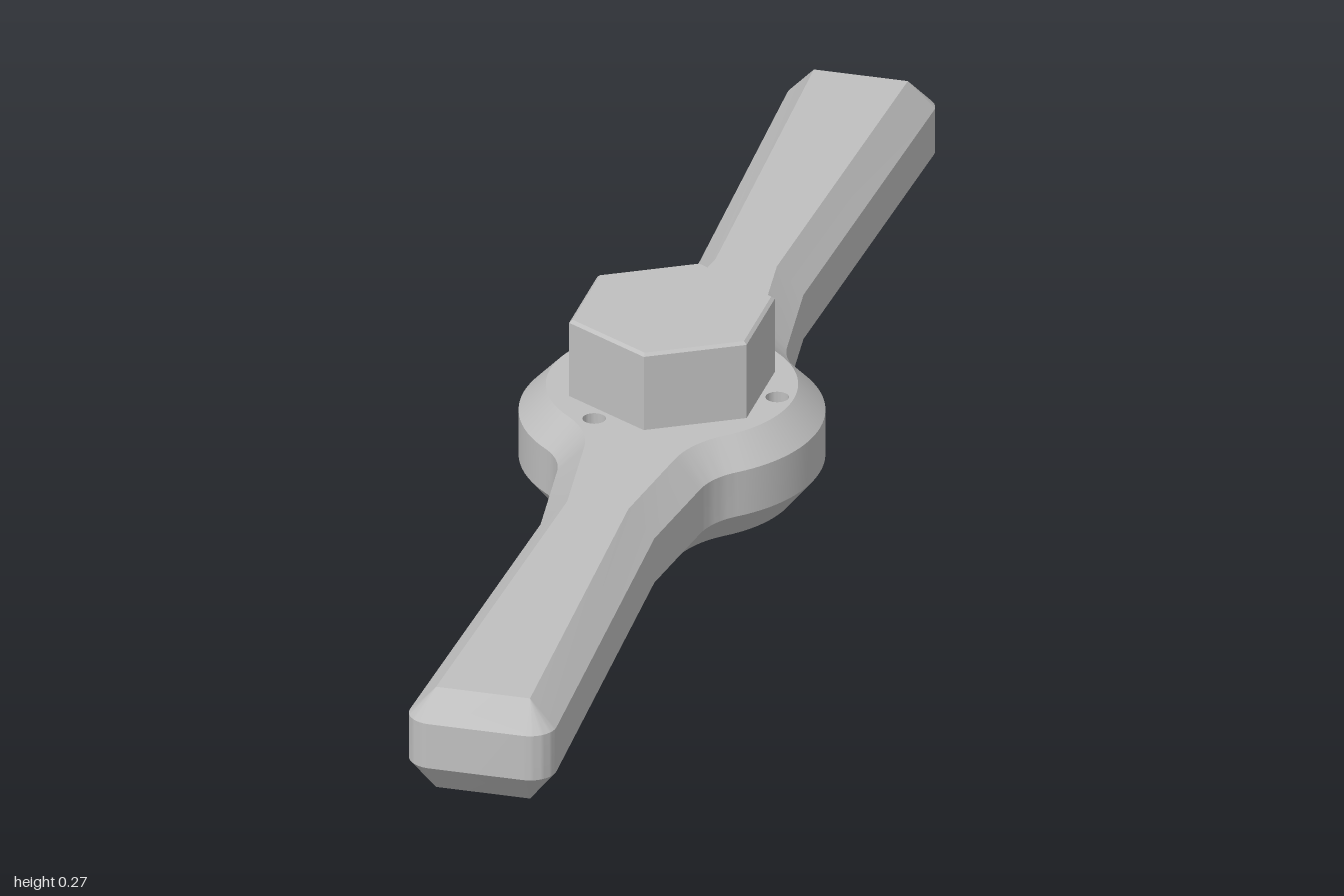
import * as THREE from 'three';
import { toCreasedNormals, mergeGeometries } from 'three/addons/utils/BufferGeometryUtils.js';

const HUB_R = 0.208, FILLET_R = 0.1, BEVEL = 0.037, HEIGHT = 0.152;

// Outline point at an angle on a circle; sign -1 gives a concave arc
const onArc = (cx, cz, r, a, sign = 1) => ({
  x: cx + sign * r * Math.cos(a), z: cz + sign * r * Math.sin(a), nx: Math.cos(a), nz: Math.sin(a),
});

// Closed plan outline of hub and both handles, with outward normals
function handleOutline() {
  const neck = { x: 0.08, z: 0.38 }, neckAngle = Math.atan(0.13), gripAngle = -0.037;
  const c = Math.cos(neckAngle), s = Math.sin(neckAngle);
  const dist = neck.x * c + neck.z * s + FILLET_R;
  const along = Math.sqrt((HUB_R + FILLET_R) ** 2 - dist ** 2);
  const fx = c * dist - s * along, fz = s * dist + c * along;
  const hubEnd = Math.atan2(fz, fx);
  const q = [];
  for (let i = 0; i <= 14; i++) q.push(onArc(0, 0, HUB_R, hubEnd * i / 14));
  for (let i = 1; i <= 10; i++)
    q.push(onArc(fx, fz, FILLET_R, hubEnd + (neckAngle - hubEnd) * i / 10, -1));
  const mid = (neckAngle + gripAngle) / 2;
  q.push({ ...neck, nx: Math.cos(mid), nz: Math.sin(mid) });
  for (let i = 0; i <= 12; i++)
    q.push(onArc(0.066, 1 - BEVEL, BEVEL, gripAngle + (Math.PI / 2 - gripAngle) * i / 12));
  const half = [...q, ...q.slice().reverse().map(p => ({ x: -p.x, z: p.z, nx: -p.nx, nz: p.nz }))].slice(0, -1);
  return [...half, ...half.map(p => ({ x: -p.x, z: -p.z, nx: -p.nx, nz: -p.nz }))];
}

// Regular polygon outline with a corner on the z axis when n = 6
function polygon(n, r, cx = 0, cz = 0) {
  return Array.from({ length: n }, (_, i) => onArc(cx, cz, r, Math.PI / 2 + i * 2 * Math.PI / n));
}

const inset = (pts, d) => pts.map(p => ({ ...p, x: p.x - p.nx * d, z: p.z - p.nz * d }));

// Wall through levels [y, inset]; inward = true faces the inside
function wall(pts, levels, inward = false) {
  const pos = [], n = pts.length;
  const rings = levels.map(([y, d]) => inset(pts, d).map(p => [p.x, y, p.z]));
  for (let k = 0; k < rings.length - 1; k++) {
    for (let i = 0; i < n; i++) {
      const j = (i + 1) % n;
      let a = rings[k][i], b = rings[k][j], A = rings[k + 1][i], B = rings[k + 1][j];
      if (inward) [a, b, A, B] = [b, a, B, A];
      pos.push(...a, ...A, ...b, ...b, ...A, ...B);
    }
  }
  const g = new THREE.BufferGeometry();
  g.setAttribute('position', new THREE.Float32BufferAttribute(pos, 3));
  return toCreasedNormals(g, n > 12 ? 0.28 : 0.1);
}

// Flat face at height y, facing up or down, with holes
function cap(pts, y, up, holes = []) {
  const s = up ? -1 : 1;
  const v = list => list.map(p => new THREE.Vector2(p.x, s * p.z));
  // the end corners collapse to a point when inset, so drop repeats
  const clean = pts.filter((p, i) => {
    const o = pts[(i + 1) % pts.length];
    return Math.hypot(p.x - o.x, p.z - o.z) > 1e-5;
  });
  const shape = new THREE.Shape(v(clean));
  holes.forEach(h => shape.holes.push(new THREE.Path(v(h))));
  const g = new THREE.ShapeGeometry(shape).rotateX(s * Math.PI / 2).translate(0, y, 0).toNonIndexed();
  g.deleteAttribute('uv');
  return g;
}

export function createModel() {
  const group = new THREE.Group();
  const grey = new THREE.MeshStandardMaterial({ color: 0xbfbfbf });
  grey.name = 'grey';
  const add = (name, ...parts) => {
    const mesh = new THREE.Mesh(mergeGeometries(parts), grey);
    mesh.name = name;
    group.add(mesh);
  };

  const outline = handleOutline(), flat = inset(outline, BEVEL);
  const pins = [0, 1, 2].map(i => {
    const a = i * 2 * Math.PI / 3;
    return polygon(24, 0.016, 0.148 * Math.cos(a), 0.148 * Math.sin(a));
  });
  const boss = polygon(6, 0.144), socket = polygon(6, 0.127);

  // Bevelled double handle with hub
  add('handleBody',
    wall(outline, [[0, BEVEL], [0.046, 0], [0.113, 0], [HEIGHT, BEVEL]]),
    cap(flat, HEIGHT, true, pins),
    cap(flat, 0, false, [socket, ...pins]));

  // Small through holes around the hub
  pins.forEach((p, i) => add('pinHole' + (i + 1), wall(p, [[0, 0], [HEIGHT, 0]], true)));

  // Hexagonal boss with a fine top chamfer
  add('hexBoss',
    wall(boss, [[HEIGHT, 0], [0.263, 0], [0.267, 0.005]]),
    cap(inset(boss, 0.005), 0.267, true));

  // Hexagonal socket open at the underside
  add('hexSocket', wall(socket, [[0, 0], [0.22, 0]], true), cap(socket, 0.22, false));

  return group;
}
